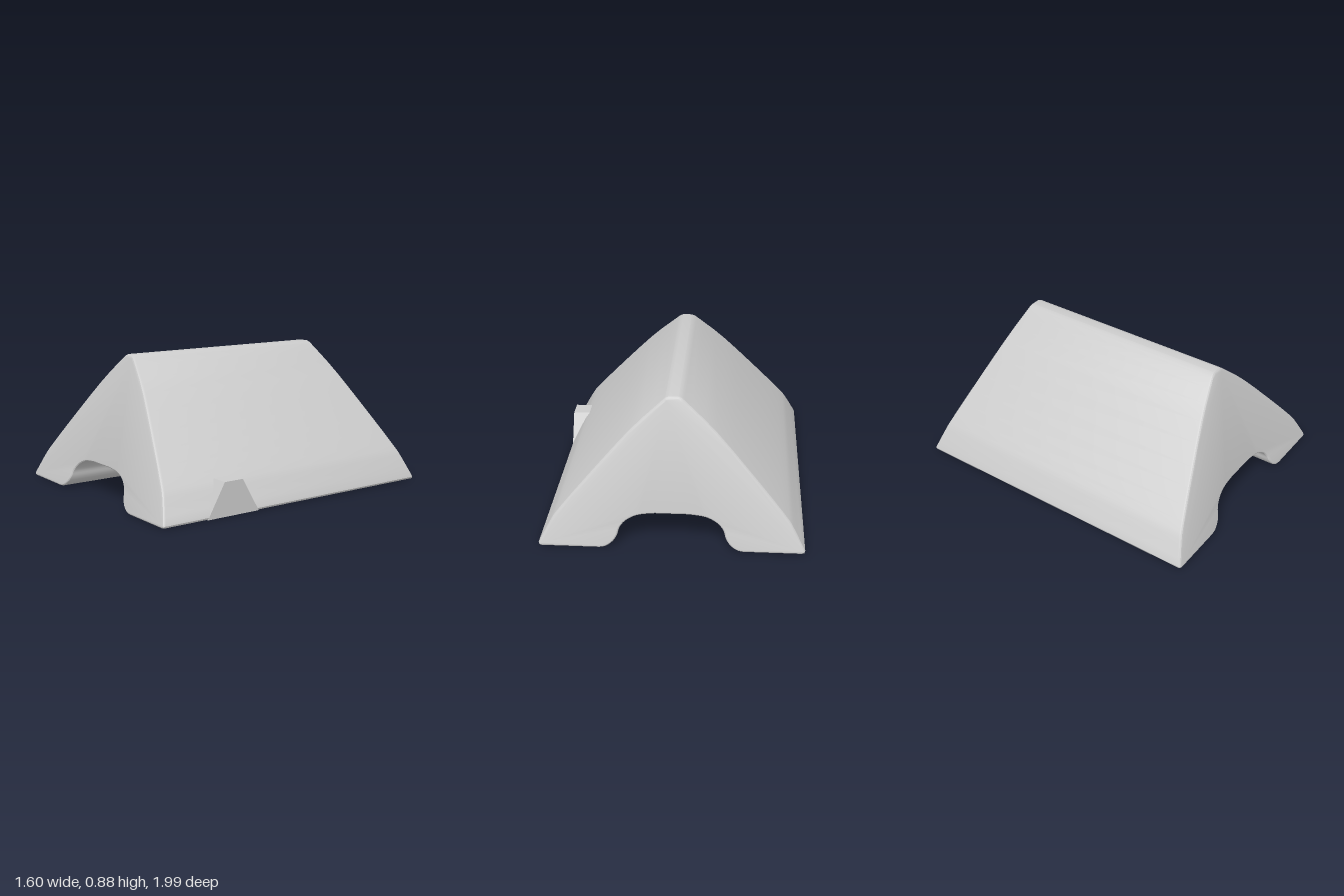
import * as THREE from 'three';
import { toCreasedNormals } from 'three/addons/utils/BufferGeometryUtils.js';

const END_SLOPE = 0.32; // how far each end leans inward per unit of height
const BEVEL = 0.016;

const spline = (pts, n) =>
  new THREE.SplineCurve(pts.map(([x, y]) => new THREE.Vector2(x, y))).getPoints(n);

// Right half of the cross-section, from the ridge down and round to the channel roof
function halfProfile() {
  const flank = spline([[0.065, 0.865], [0.25, 0.70], [0.5, 0.43], [0.68, 0.225], [0.73, 0.155], [0.795, 0.035]], 14);
  const toe = spline([[0.80, 0.02], [0.795, 0.009], [0.78, 0.005]], 2);
  const channel = spline([[0.43, 0.005], [0.39, 0.014], [0.35, 0.042], [0.325, 0.08],
    [0.31, 0.125], [0.27, 0.168], [0.2, 0.2], [0.1, 0.212]], 24);
  return [new THREE.Vector2(0.03, 0.885), new THREE.Vector2(0.05, 0.877), ...flank, ...toe, ...channel];
}

function bodyGeometry() {
  const right = halfProfile();
  const left = right.map((p) => new THREE.Vector2(-p.x, p.y)).reverse();
  const depth = 2 - 2 * BEVEL;
  const geo = new THREE.ExtrudeGeometry(new THREE.Shape([...right, ...left]), {
    depth, bevelEnabled: true, bevelSize: BEVEL, bevelThickness: BEVEL, bevelOffset: -BEVEL, bevelSegments: 3,
  });
  geo.translate(0, 0, -depth / 2);
  // Lean both ends inward with height
  const pos = geo.attributes.position;
  for (let i = 0; i < pos.count; i++) {
    const z = pos.getZ(i);
    pos.setZ(i, z - Math.sign(z) * END_SLOPE * pos.getY(i));
  }
  return toCreasedNormals(geo, 0.4);
}

// Trapezoid lug set into the right-hand flank
function lugGeometry() {
  const outline = [[-0.69, 0.006], [-0.32, 0.006], [-0.44, 0.215], [-0.57, 0.215]];
  const shape = new THREE.Shape(outline.map(([x, y]) => new THREE.Vector2(x, y)));
  const geo = new THREE.ExtrudeGeometry(shape, { depth: 0.2, bevelEnabled: false });
  geo.rotateY(Math.PI / 2);
  geo.translate(0.6, 0, 0);
  return geo;
}

export function createModel() {
  const model = new THREE.Group();
  const material = new THREE.MeshStandardMaterial({ color: 0xcccccc });
  const add = (name, geometry) => {
    const mesh = new THREE.Mesh(geometry, material);
    mesh.name = name;
    model.add(mesh);
  };
  add('wedgeBody', bodyGeometry());
  add('sideLug', lugGeometry());
  return model;
}
